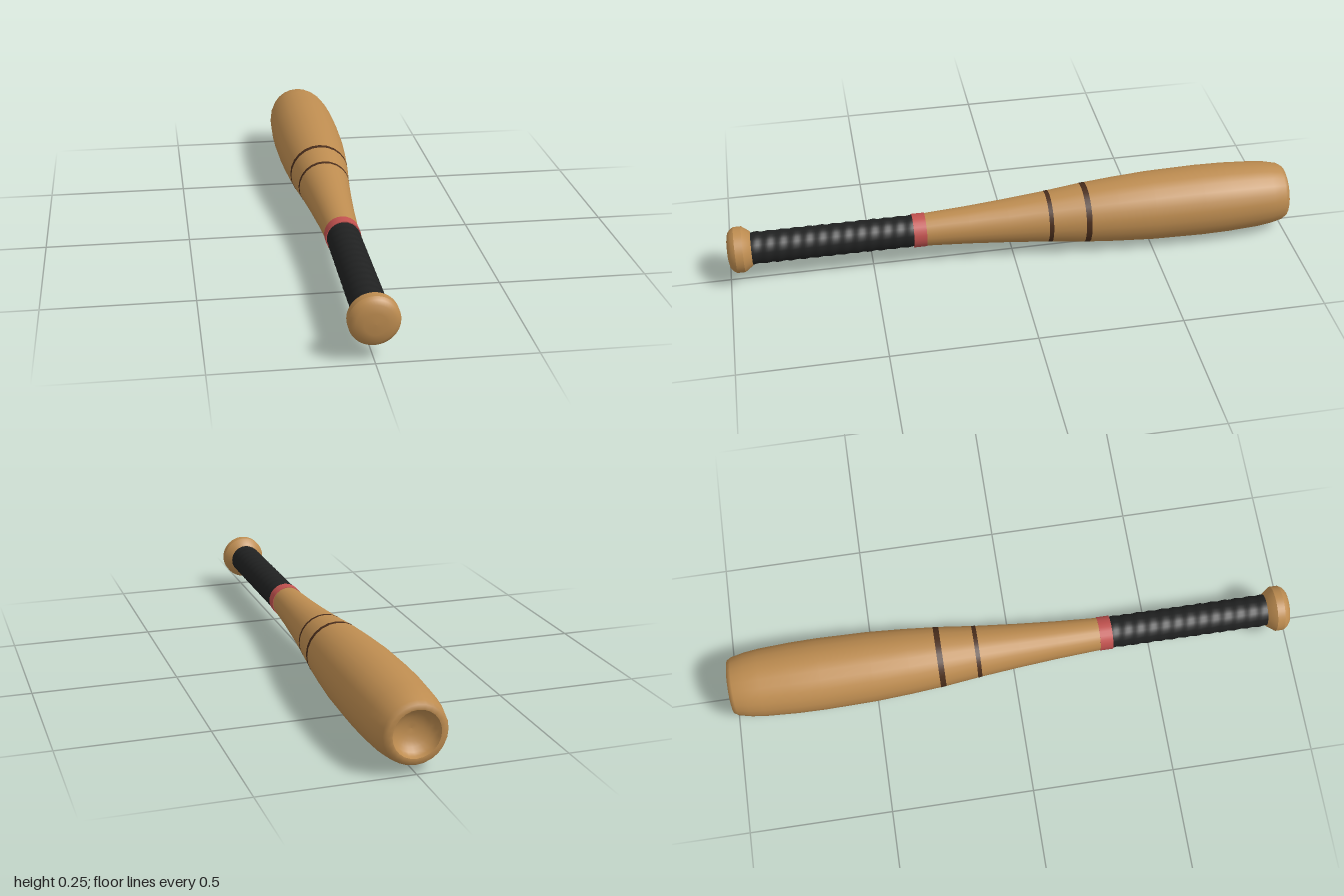
import * as THREE from 'three';

const AXIS_Y = 0.128;
const material = (name, color, side = THREE.FrontSide) => {
  const m = new THREE.MeshStandardMaterial({ color, side });
  m.name = name;
  return m;
};

// Round part about the bat's long axis; profile points are [radius, z], with z rising along the outside
function turned(name, profile, mat, sides = 24) {
  const points = profile.map(([r, z]) => new THREE.Vector2(r, z));
  const geometry = new THREE.LatheGeometry(points, sides);
  geometry.rotateX(Math.PI / 2);
  const mesh = new THREE.Mesh(geometry, mat);
  mesh.name = name;
  mesh.position.y = AXIS_Y;
  return mesh;
}

export function createModel() {
  const wood = material('wood', 0xbd8c50);
  const darkWood = material('dark ring brown', 0x4a2e1c);
  const leather = material('black grip', 0x202121);
  const red = material('red band', 0xc2524f);
  const bat = new THREE.Group();
  bat.name = 'bat';

  // Tapered barrel, from the rounded rim to the handle
  const barrel = [
    [0.078, -0.998], [0.095, -1], [0.104, -0.985], [0.114, -0.94], [0.12, -0.89], [0.126, -0.78],
    [0.1275, -0.68], [0.124, -0.5], [0.116, -0.37], [0.106, -0.25], [0.091, -0.12],
    [0.078, 0.02], [0.067, 0.16], [0.058, 0.31], [0.053, 0.36], [0.053, 0.92],
  ];
  bat.add(turned('barrel', barrel, wood));

  // Hollow cup in the barrel end
  const cup = [];
  for (let i = 0; i <= 6; i++) {
    const a = (i / 6) * Math.PI / 2;
    cup.push([0.078 * Math.sin(a), -0.998 + 0.05 * Math.cos(a)]);
  }
  bat.add(turned('endCup', cup.reverse().map(([r, z]) => [r, z]).reverse(), wood));

  // Two dark rings following the taper
  const radiusAt = (z) => {
    const i = barrel.findIndex((p, k) => k > 1 && p[1] >= z);
    const [r0, z0] = barrel[i - 1], [r1, z1] = barrel[i];
    return r0 + (r1 - r0) * (z - z0) / (z1 - z0);
  };
  for (const [name, z0, z1] of [['wideRing', -0.27, -0.25], ['narrowRing', -0.135, -0.12]]) {
    bat.add(turned(name, [z0, z1].map((z) => [radiusAt(z) + 0.0006, z]), darkWood));
  }

  // Wrapped grip with a shallow spiral ripple
  const rows = 84, start = 0.35, end = 0.917;
  const gripProfile = Array.from({ length: rows + 1 }, (_, i) => [0.056, start + (end - start) * i / rows]);
  const grip = turned('grip', gripProfile, leather);
  const pos = grip.geometry.attributes.position;
  for (let i = 0; i < pos.count; i++) {
    const angle = Math.atan2(pos.getY(i), pos.getX(i));
    const scale = 1 + 0.025 * Math.sin(angle + pos.getZ(i) * Math.PI * 2 / 0.045);
    pos.setXY(i, pos.getX(i) * scale, pos.getY(i) * scale);
  }
  grip.geometry.computeVertexNormals();
  bat.add(grip);

  // Red band where the grip meets the wood
  bat.add(turned('bandSide', [[0.06, 0.31], [0.06, 0.355]], red));
  bat.add(turned('bandBackFace', [[0.05, 0.31], [0.06, 0.31]], red));
  bat.add(turned('bandFrontFace', [[0.06, 0.355], [0.05, 0.355]], red));

  // Knob: bevelled back, straight rim and domed front
  bat.add(turned('knobBack', [[0.045, 0.915], [0.06, 0.917], [0.08, 0.945]], wood, 48));
  bat.add(turned('knobRim', [[0.08, 0.945], [0.08, 0.972]], wood, 48));
  bat.add(turned('knobFront', [[0.08, 0.972], [0.073, 0.984], [0.06, 0.994], [0.035, 0.999], [0, 1]], wood, 48));
  return bat;
}
